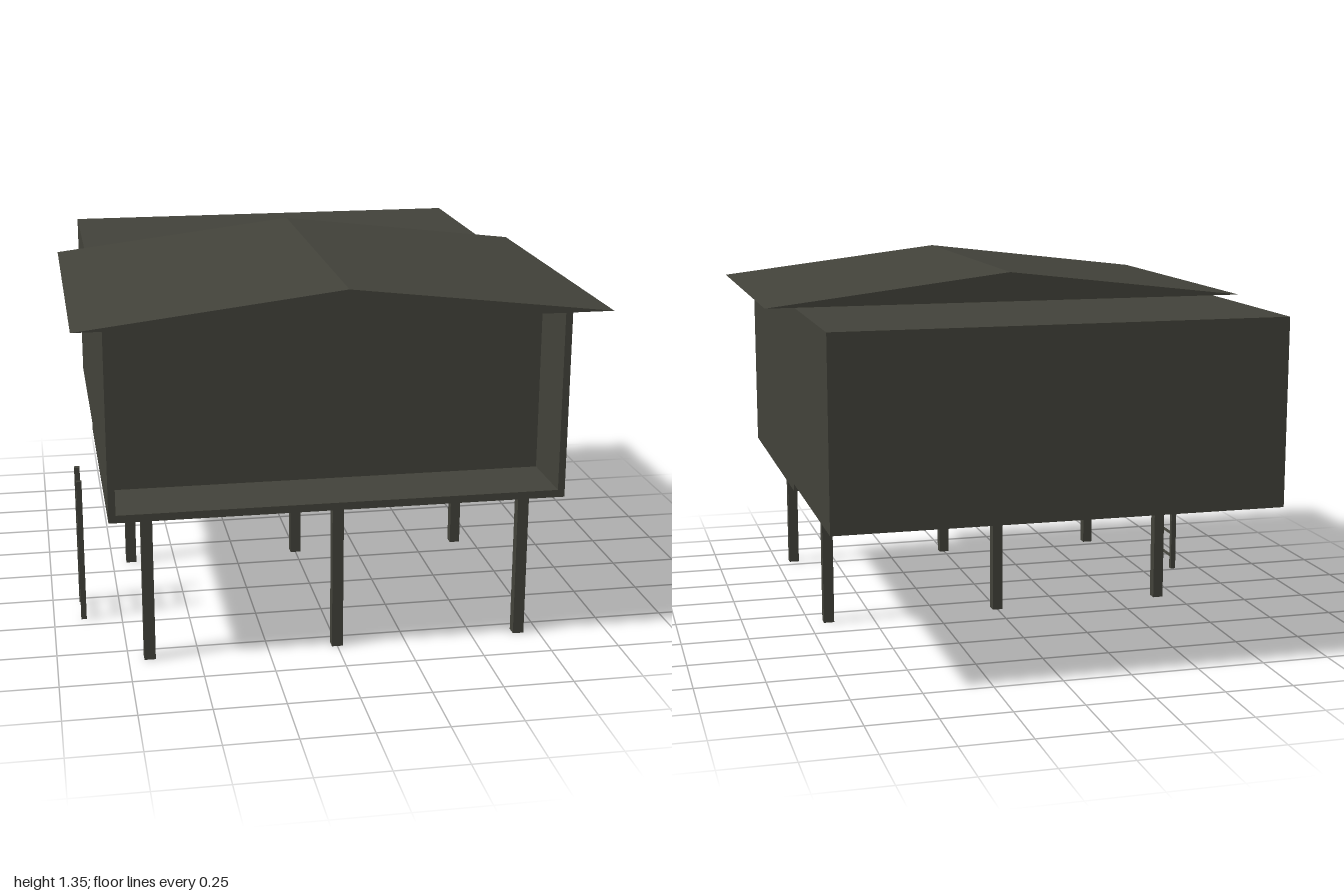
import * as THREE from 'three';

export function createModel() {
  const model = new THREE.Group();
  model.name = 'stiltHut';
  const wood = new THREE.MeshStandardMaterial({ color: 0x42423a });
  wood.name = 'darkWood';
  const thinWood = new THREE.MeshStandardMaterial({ color: 0x42423a, side: THREE.DoubleSide });
  thinWood.name = 'darkWoodThin';

  // Box given by its minimum and maximum corners
  function addBox(name, [x0, y0, z0], [x1, y1, z1], parent = model) {
    const mesh = new THREE.Mesh(new THREE.BoxGeometry(x1 - x0, y1 - y0, z1 - z0), wood);
    mesh.position.set((x0 + x1) / 2, (y0 + y1) / 2, (z0 + z1) / 2);
    mesh.name = name;
    parent.add(mesh);
    return mesh;
  }

  const halfWidth = 0.808, floorBottom = 0.543, floorTop = 0.57, eaves = 1.245;
  const front = 0.89, recess = 0.63;

  // Floor slab, closed cabin and the side walls of the open porch
  addBox('floor', [-halfWidth, floorBottom, -0.19], [halfWidth, floorTop, front]);
  addBox('cabin', [-halfWidth, floorTop, -1], [halfWidth, eaves, recess]);
  addBox('porchWallRight', [-halfWidth, floorTop, recess], [-0.783, eaves, front]);
  addBox('porchWallLeft', [0.783, floorTop, recess], [halfWidth, eaves, front]);

  // Low gable roof
  const gable = new THREE.Shape();
  gable.moveTo(-0.915, eaves);
  gable.lineTo(0.915, eaves);
  gable.lineTo(0, 1.354);
  gable.closePath();
  const roof = new THREE.Mesh(
    new THREE.ExtrudeGeometry(gable, { depth: 1.3, bevelEnabled: false }), wood);
  roof.position.z = -0.3;
  roof.name = 'roof';
  model.add(roof);

  // Two rows of three stilts
  for (const z of [0.815, -0.105]) {
    for (const x of [-0.675, 0, 0.675]) {
      addBox('stilt', [x - 0.02, 0, z - 0.02], [x + 0.02, floorBottom, z + 0.02]);
    }
  }

  // Ladder beside the hut, with flat rungs
  const ladder = new THREE.Group();
  ladder.name = 'ladder';
  model.add(ladder);
  for (const z of [0.275, 0.437]) {
    addBox('ladderRail', [-0.9, 0, z - 0.01], [-0.88, floorBottom, z + 0.01], ladder);
  }
  for (let i = 0; i < 5; i++) {
    const rung = new THREE.Mesh(new THREE.PlaneGeometry(0.02, 0.142), thinWood);
    rung.rotation.x = -Math.PI / 2;
    rung.position.set(-0.89, 0.05 + i * 0.1, 0.356);
    rung.name = 'ladderRung';
    ladder.add(rung);
  }

  return model;
}
